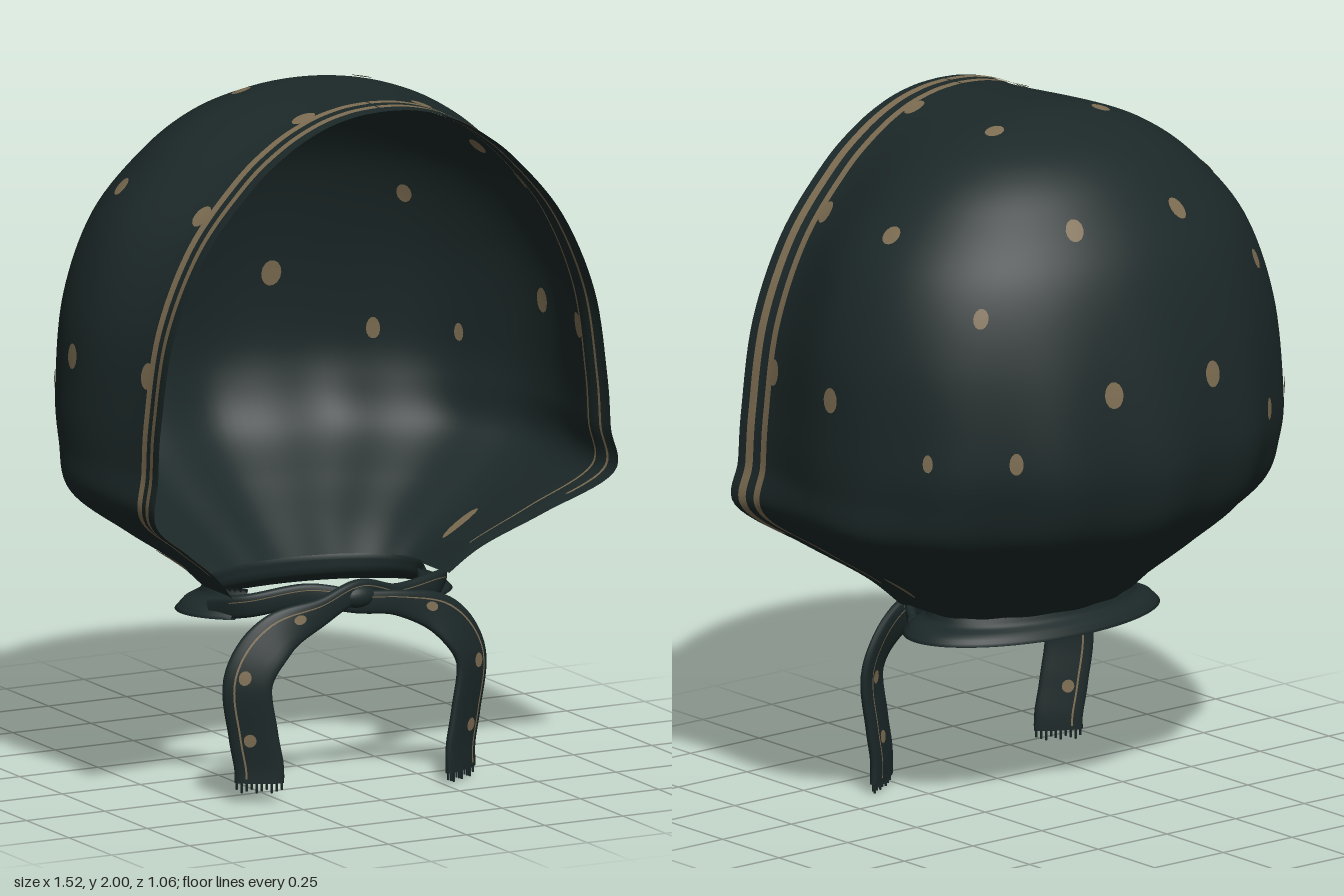
import * as THREE from 'three';
import { mergeVertices } from 'three/addons/utils/BufferGeometryUtils.js';

const V = (x, y, z) => new THREE.Vector3(x, y, z);
const { lerp, smoothstep } = THREE.MathUtils;

// Smooth surface from a function f(u, v), u and v in 0..1
function grid(f, nu, nv) {
  const pos = [], idx = [];
  for (let j = 0; j <= nv; j++)
    for (let i = 0; i <= nu; i++) pos.push(...f(i / nu, j / nv).toArray());
  for (let j = 0; j < nv; j++)
    for (let i = 0; i < nu; i++) {
      const a = j * (nu + 1) + i, b = a + 1, c = a + nu + 1, d = c + 1;
      idx.push(a, b, d, a, d, c);
    }
  let g = new THREE.BufferGeometry();
  g.setAttribute('position', new THREE.Float32BufferAttribute(pos, 3));
  g.setIndex(idx);
  g = mergeVertices(g, 1e-5);
  g.computeVertexNormals();
  return g;
}

// Hood sections from crown to neck: height, half width, edge half width, edge z, widest z, back z
const ROWS = [
  [2.0, 0, 0, .515, .12, .1], [1.99, .12, .09, .515, .115, .02], [1.96, .245, .19, .515, .11, -.08],
  [1.9, .38, .3, .515, .1, -.2], [1.8, .512, .42, .515, .1, -.303], [1.63, .655, .56, .515, .1, -.415],
  [1.4, .738, .66, .515, .1, -.484], [1.15, .757, .7, .515, .1, -.52], [1.0, .755, .71, .517, .1, -.507],
  [.87, .737, .718, .52, .1, -.447], [.75, .58, .56, .41, .1, -.32], [.65, .43, .42, .31, .1, -.2],
  [.57, .34, .34, .26, .09, -.1],
];
const N = ROWS.length - 1, SIDE = .65;
const spline = (a, b, c, d, t) =>
  .5 * (2 * b + (c - a) * t + (2 * a - 5 * b + 4 * c - d) * t * t + (3 * b - a - 3 * c + d) * t ** 3);

// Point on the hood: t = -1..1 from edge to edge round the back, v = 0 crown to 1 neck
function hood(t, v) {
  const p = Math.min(Math.max(v, 0), 1) * N, i = Math.min(Math.floor(p), N - 1);
  const row = k => ROWS[Math.min(Math.max(k, 0), N)];
  const [y, w, e, zf, zw, zb] = ROWS[0].map((_, k) =>
    spline(row(i - 1)[k], row(i)[k], row(i + 1)[k], row(i + 2)[k], p - i));
  const s = Math.abs(t), sg = Math.sign(t);
  if (s > SIDE) {
    // drawn in towards the face, then a slight flare at the hem
    const k = (s - SIDE) / (1 - SIDE);
    const x = lerp(w, e, smoothstep(k, 0, .85)) + e * .02 * smoothstep(k, .75, 1);
    return V(sg * x, y - .012 * k * (v < .3 ? 1 - v / .3 : 0), lerp(zw, zf, k));
  }
  // gathered folds towards the neck, pulled in on the back diagonals
  const a = s / SIDE * Math.PI / 2;
  const fold = 1 + .022 * Math.cos(s * 32) * smoothstep(v, .4, .75) * (1 - s / SIDE)
    - .035 * Math.sin(2 * a) ** 2 * smoothstep(v, .6, .8);
  return V(sg * w * Math.sin(a) * fold, y, zw - (zw - zb) * Math.cos(a) * fold);
}
function hoodFrame(t, v) {
  const h = .004;
  const dt = hood(t + h, v).sub(hood(t - h, v)).divideScalar(2 * h);
  const dv = hood(t, Math.min(v + h, 1)).sub(hood(t, Math.max(v - h, 0))).divideScalar(2 * h);
  return { dt, dv, n: dt.clone().cross(dv).normalize() };
}
const onHood = (t, v, off) => hood(t, v).addScaledVector(hoodFrame(t, v).n, off);
// +1 or -1: the sense of the frame normal that points out of the hood
const OUT = Math.sign(hoodFrame(.01, .6).n.z) * -1;

// Nearest hood parameters to a point
function locate(target) {
  let best = [0, 0], min = 9;
  for (let i = -98; i <= 98; i++)
    for (let j = 2; j <= 98; j++) {
      const d = hood(i / 100, j / 100).distanceTo(target);
      if (d < min) { min = d; best = [i / 100, j / 100]; }
    }
  return best;
}

export function createModel() {
  const model = new THREE.Group();
  model.name = 'tiedHeadscarf';
  const mat = (name, color) => {
    const m = new THREE.MeshStandardMaterial({ color, side: THREE.DoubleSide });
    m.name = name;
    return m;
  };
  const cloth = mat('dark green cloth', 0x1c2828);
  const gold = mat('dull gold', 0x7d6d52);
  const add = (name, geo, m, parent = model) => {
    const mesh = new THREE.Mesh(geo, m);
    mesh.name = name;
    parent.add(mesh);
    return mesh;
  };

  add('hood', grid((u, v) => hood(u * 2 - 1, v), 128, 96), cloth);

  // Two printed stripes along the face edge, showing through thinner on the inside
  for (const side of [-1, 1])
    for (const [s0, s1, end] of [[.951, .973, .8], [.905, .927, .92]]) {
      const stripe = (name, a, b, off) => add(name, grid((u, v) =>
        onHood(side * lerp(a, b, u), lerp(.004, end, v), off * OUT), 2, 96), gold);
      stripe('edgeStripe', s0, s1, .004);
      stripe('edgeStripeInside', s0 + .007, s1 - .007, -.004);
    }

  // Printed dots: position, width and height scale
  const dots = [[.19, 1.76, -.31, 1, 1], [.18, 1.32, -.48, 1.1, 1.1], [.5, 1.53, -.29, .8, .85],
    [.45, 1.14, -.39, .75, .9], [.62, 1.13, -.21, .55, .75], [.75, 1.27, .07, 1, 1.05],
    [.56, 1.74, .03, 1, .85], [.19, 1.96, .03, .95, .8], [.18, 1.96, .39, 1, 1], [.53, 1.73, .39, 1, 1],
    [.72, 1.29, .4, 1, 1.1], [.45, .66, .12, .7, 1.9]];
  for (const [x, y, z, sw, sh] of dots) {
    const [t, v] = locate(V(x, y, z));
    for (const side of [-1, 1]) {
      const { dt, dv } = hoodFrame(side * t, v);
      const rt = .027 * sw / dt.length(), rv = .035 * sh / dv.length();
      for (const off of [-.005, .005])
        add('dot', grid((u, r) => onHood(side * t + r * rt * Math.cos(u * 2 * Math.PI),
          v + r * rv * Math.sin(u * 2 * Math.PI), off), 14, 2), gold);
    }
  }

  // Flared band round the nape
  const bandProfile = [[.335, .19, .58], [.35, .2, .55], [.40, .225, .53], [.425, .24, .505],
    [.40, .22, .50], [.34, .19, .53], [.335, .19, .58]];
  add('napeBand', grid((u, v) => {
    const a = lerp(-.2, 1.2, u) * Math.PI, p = v * (bandProfile.length - 1);
    const i = Math.min(Math.floor(p), bandProfile.length - 2);
    const [rx, rz, y] = bandProfile[i].map((q, k) => lerp(q, bandProfile[i + 1][k], p - i));
    return V(rx * Math.cos(a), y, .1 - rz * Math.sin(a));
  }, 64, 18), cloth);

  // Crossed ties: each starts on one side and hangs on the other
  for (const e of [-1, 1]) {
    const tie = new THREE.Group();
    tie.name = e > 0 ? 'leftTie' : 'rightTie';
    model.add(tie);
    const end = e > 0 ? .03 : .06, lift = e * .015;
    const path = new THREE.CatmullRomCurve3([[-.37, .53, .17], [-.3, .545, .26], [-.14, .555 + lift, .32],
      [0, .56 - lift, .36], [.13, .53, .375], [.27, .475, .375], [.355, .36, .37], [.34, .2, .37],
      [.322, .1, .372], [.322, end, .372]].map(p => V(p[0] * e, p[1], p[2])));
    const frame = s => {
      const T = path.getTangentAt(s), c = path.getPointAt(s);
      const W = T.clone().cross(V(0, 0, 1)).multiplyScalar(-e).normalize();
      W.z -= .55 * smoothstep(s, .45, .7);
      W.normalize();
      const n = T.clone().cross(W).normalize();
      const hw = lerp(.034, .07, smoothstep(s, .42, .68));
      return { c, W, n, hw };
    };
    const at = (s, q, h) => {
      const { c, W, n, hw } = frame(s);
      return c.addScaledVector(W, hw * q).addScaledVector(n, h);
    };
    const H = .015;
    add('tieRibbon', grid((u, s) => {
      const a = u * 2 * Math.PI, r = x => Math.sign(x) * Math.abs(x) ** .7;
      return at(s, r(Math.cos(a)), H * r(Math.sin(a)));
    }, 20, 64), cloth, tie);
    for (const f of [-1, 1]) {
      const face = H + .003;
      add('tieStripe', grid((u, s) => at(lerp(.06, .99, s), lerp(.48, .56, u), f * face), 1, 64), gold, tie);
      for (const s of [.3, .55, .74, .89])
        add('tieDot', grid((u, r) => at(s + r * .016 * Math.sin(u * 2 * Math.PI),
          .15 + r * .26 * Math.cos(u * 2 * Math.PI), f * face), 12, 1), gold, tie);
    }
    // Frayed end
    for (let i = 0; i < 10; i++) {
      const p = at(1, -.9 + i * .2, 0), len = .026 + .005 * (i % 3);
      add('fringe', new THREE.BoxGeometry(.005, len, .005), cloth, tie)
        .position.set(p.x, Math.max(p.y - len / 2 + .006, len / 2), p.z);
    }
  }

  // Knot where the ties cross
  const knot = add('knot', new THREE.SphereGeometry(1, 20, 14), cloth);
  knot.scale.set(.055, .034, .03);
  knot.position.set(0, .56, .36);
  return model;
}
